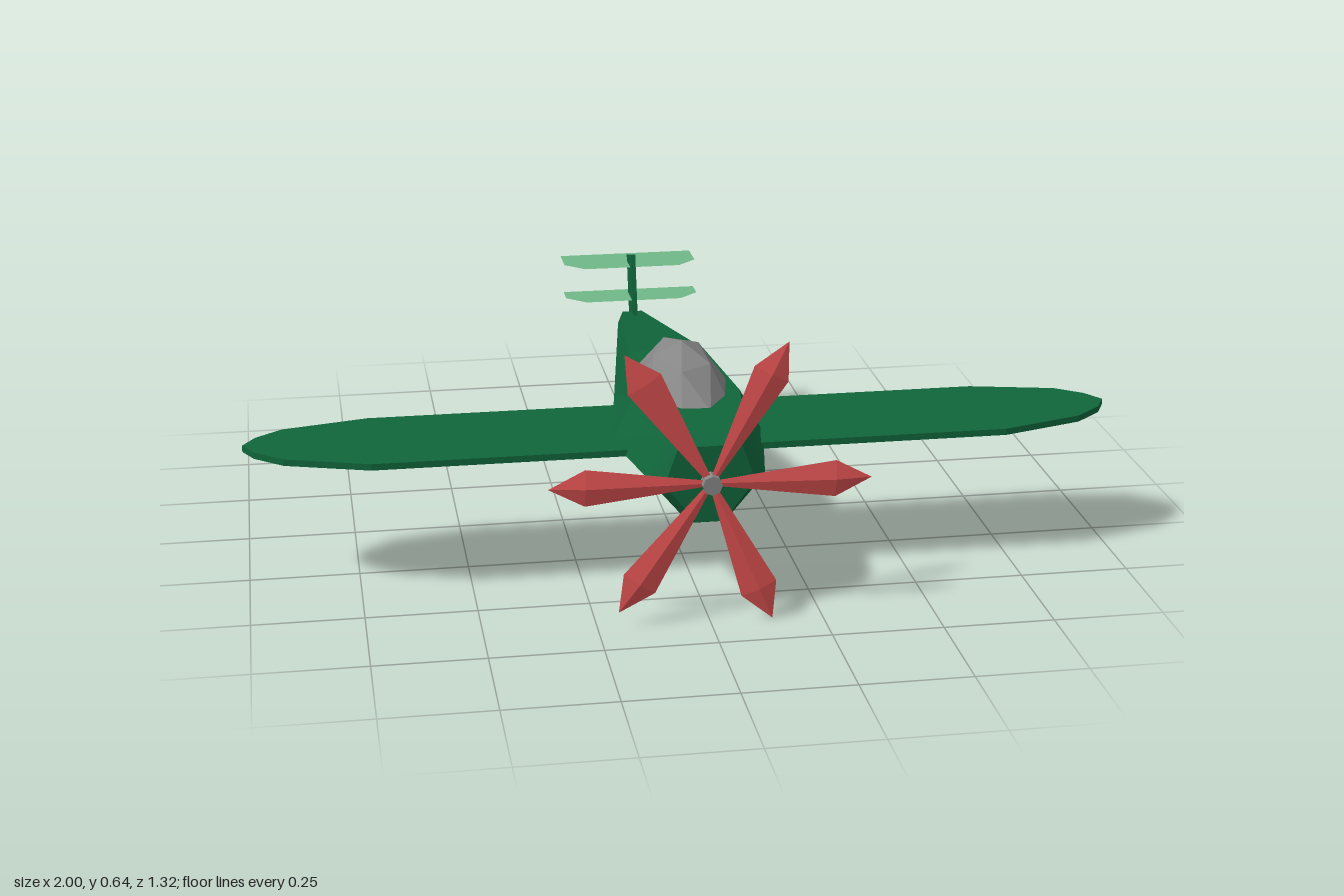
import * as THREE from 'three';

const material = (name, color, side = THREE.FrontSide) => {
  const m = new THREE.MeshStandardMaterial({ color, flatShading: true, side });
  m.name = name;
  return m;
};

const shapeOf = (points) => new THREE.Shape(points.map(([x, y]) => new THREE.Vector2(x, y)));

// Mirrors a right-hand outline across x = 0 to close it
const mirrored = (half) => [...half, ...half.map(([x, y]) => [-x, y]).reverse()];

// Six-sided body lofted from nose to tail
function fuselageGeometry() {
  const midY = 0.325;
  // z, top height, top half width, middle half width, bottom height, bottom half width
  const stations = [
    [0.625, 0.41, 0.07, 0.10, 0.235, 0.03],
    [0.59, 0.43, 0.085, 0.128, 0.22, 0.04],
    [0.33, 0.43, 0.12, 0.175, 0.22, 0.045],
    [0.02, 0.43, 0.09, 0.125, 0.22, 0.04],
    [-0.535, 0.355, 0.025, 0.037, 0.30, 0.015],
  ];
  const rings = stations.map(([z, ty, tw, mw, by, bw]) => [
    [mw, midY, z], [tw, ty, z], [-tw, ty, z], [-mw, midY, z], [-bw, by, z], [bw, by, z],
  ]);
  const out = [];
  const tri = (a, b, c) => out.push(...a, ...b, ...c);
  for (let i = 0; i < rings.length - 1; i++) {
    for (let j = 0; j < 6; j++) {
      const k = (j + 1) % 6;
      const [a, b, c, d] = [rings[i][j], rings[i][k], rings[i + 1][k], rings[i + 1][j]];
      tri(a, d, c);
      tri(a, c, b);
    }
  }
  const nose = rings[0], tail = rings[rings.length - 1];
  for (let j = 1; j < 5; j++) {
    tri(nose[0], nose[j], nose[j + 1]);
    tri(tail[0], tail[j + 1], tail[j]);
  }
  const g = new THREE.BufferGeometry();
  g.setAttribute('position', new THREE.Float32BufferAttribute(out, 3));
  g.computeVertexNormals();
  return g;
}

// Faceted dome whose lower half is flattened inside the body
function canopyGeometry() {
  const g = new THREE.IcosahedronGeometry(1, 1);
  g.rotateX(-Math.atan((1 + Math.sqrt(5)) / 2));
  g.rotateY(-Math.PI / 2);
  g.scale(0.125, 0.213, 0.255);
  g.translate(0, 0.312, 0.24);
  const p = g.attributes.position;
  for (let i = 0; i < p.count; i++) p.setY(i, Math.max(p.getY(i), 0.36));
  g.computeVertexNormals();
  return g;
}

export function createModel() {
  const model = new THREE.Group();
  const green = material('dark green', 0x10653b);
  const mint = material('light green', 0x6fb888, THREE.DoubleSide);
  const red = material('propeller red', 0xd85050);
  const grey = material('grey', 0x868686);

  const add = (name, geometry, mat, parent = model) => {
    const mesh = new THREE.Mesh(geometry, mat);
    mesh.name = name;
    parent.add(mesh);
    return mesh;
  };

  add('fuselage', fuselageGeometry(), green);
  add('canopy', canopyGeometry(), grey);

  // Wing: one flat slab with rounded tips
  const wing = new THREE.ExtrudeGeometry(shapeOf(mirrored([
    [0.715, 0.13], [0.91, 0.175], [0.97, 0.22], [1, 0.267],
    [0.975, 0.315], [0.91, 0.37], [0.72, 0.43],
  ])), { depth: 0.015, bevelEnabled: false });
  wing.rotateX(Math.PI / 2);
  add('wing', wing, green).position.y = 0.338;

  // Swept tail fin
  const fin = new THREE.ExtrudeGeometry(shapeOf([
    [-0.47, 0.36], [-0.545, 0.30], [-0.595, 0.49], [-0.51, 0.515],
  ]), { depth: 0.01, bevelEnabled: false });
  fin.rotateY(-Math.PI / 2);
  add('tailFin', fin, green).position.x = 0.005;

  // Two thin tailplanes
  [['upperTailplane', 0.475, -0.53, -0.66], ['lowerTailplane', 0.395, -0.5, -0.6]]
    .forEach(([name, y, front, back]) => {
      const plane = new THREE.ShapeGeometry(shapeOf(mirrored([
        [0.17, back], [0.17, front - 0.045], [0.122, front],
      ])));
      plane.rotateX(Math.PI / 2);
      add(name, plane, mint).position.y = y;
    });

  // Propeller: six diamond-section blades around a small hub
  const propeller = new THREE.Group();
  propeller.name = 'propeller';
  propeller.position.set(0, 0.33, 0.64);
  model.add(propeller);
  const blade = new THREE.LatheGeometry(
    [[0, 0.012], [0.008, 0.02], [0.042, 0.275], [0, 0.355]].map(([r, y]) => new THREE.Vector2(r, y)), 4);
  blade.scale(1, 1, 0.24);
  [-1, 62, 122, 179, 235, 293].forEach((angle) => {
    add('propellerBlade', blade, red, propeller).rotation.z = THREE.MathUtils.degToRad(angle - 90);
  });
  const hub = new THREE.CylinderGeometry(0.022, 0.022, 0.04, 8);
  hub.rotateX(Math.PI / 2);
  add('propellerHub', hub, grey, propeller).position.z = -0.002;

  return model;
}
